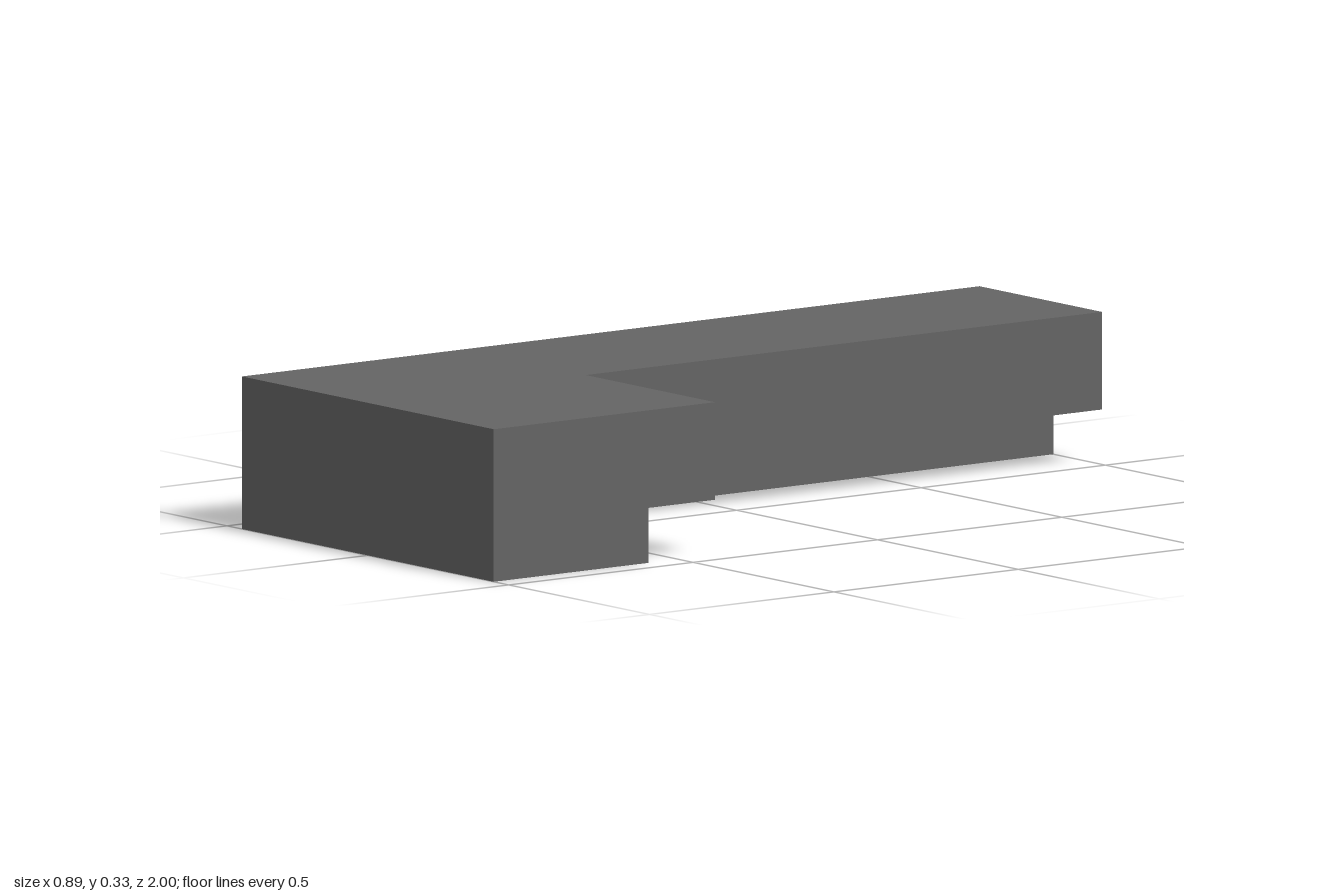
import * as THREE from 'three';

// Stepped L-shaped block: one cross-section swept along two arms with a mitred corner.
export function createModel() {
  const darkGrey = new THREE.MeshStandardMaterial({ color: 0x646464 });
  darkGrey.name = 'darkGrey';

  // Section corners as [x on the long arm, z on the short arm, height]
  const section = [
    [-0.447, 1, 0.333],    // outer wall
    [-0.447, 1, 0],
    [-0.185, 0.58, 0],     // recessed base
    [-0.185, 0.58, 0.12],
    [-0.012, 0.4, 0.12],   // overhanging upper edge
    [-0.012, 0.4, 0.333],
  ];
  const stations = [
    section.map(([x, , y]) => [x, y, -1]),      // end of long arm
    section.map(([x, z, y]) => [x, y, z]),      // mitred corner
    section.map(([, z, y]) => [0.447, y, z]),   // end of short arm
  ];

  const positions = [];
  const triangle = (a, b, c) => positions.push(...a, ...b, ...c);

  // Walls along both arms
  for (let s = 0; s < 2; s++) {
    const from = stations[s], to = stations[s + 1];
    for (let i = 0; i < section.length; i++) {
      const j = (i + 1) % section.length;
      triangle(from[i], from[j], to[j]);
      triangle(from[i], to[j], to[i]);
    }
  }

  // End caps, fanned from the inner step corner
  const [back, , side] = stations;
  for (const [a, b] of [[4, 5], [5, 0], [0, 1], [1, 2]]) {
    triangle(back[3], back[b], back[a]);
    triangle(side[3], side[a], side[b]);
  }

  const geometry = new THREE.BufferGeometry();
  geometry.setAttribute('position', new THREE.Float32BufferAttribute(positions, 3));
  geometry.computeVertexNormals();

  const block = new THREE.Mesh(geometry, darkGrey);
  block.name = 'steppedCornerBlock';
  const group = new THREE.Group();
  group.name = 'cornerUnit';
  group.add(block);
  return group;
}
